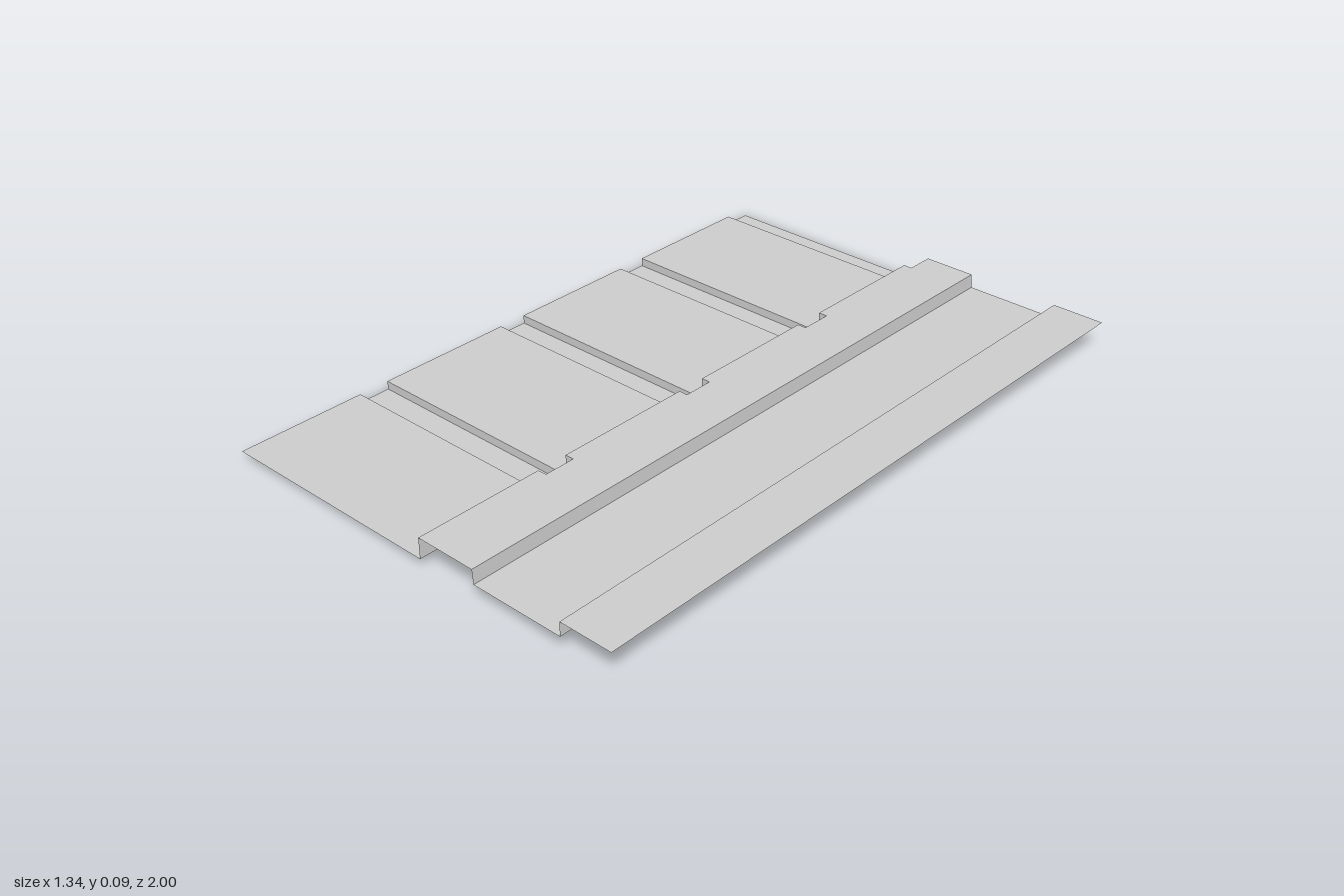
import * as THREE from 'three';

const material = new THREE.MeshStandardMaterial({ color: 0xcccccc, side: THREE.DoubleSide, flatShading: true });

// Thin folded sheet: a profile of [x, y] points swept from z0 to z1
function foldedSheet(name, profile, z0, z1) {
  const pos = [];
  for (let i = 0; i < profile.length - 1; i++) {
    const [ax, ay] = profile[i], [bx, by] = profile[i + 1];
    pos.push(ax, ay, z0, ax, ay, z1, bx, by, z1);
    pos.push(ax, ay, z0, bx, by, z1, bx, by, z0);
  }
  const geo = new THREE.BufferGeometry();
  geo.setAttribute('position', new THREE.Float32BufferAttribute(pos, 3));
  geo.computeVertexNormals();
  const mesh = new THREE.Mesh(geo, material);
  mesh.name = name;
  return mesh;
}

export function createModel() {
  const group = new THREE.Group();
  group.name = 'foldedPanel';

  const left = -0.67, right = 0.67;
  const panelY = 0.025, trayY = 0.045, topY = 0.087;
  const panelEnd = 0.035, grooveEnd = 0.062, ridgeEnd = 0.222, trayEnd = 0.51;

  const panelProfile = [[left, panelY], [panelEnd, panelY], [panelEnd, topY], [ridgeEnd, topY]];
  const grooveProfile = [[left, 0], [grooveEnd, 0], [grooveEnd, topY], [ridgeEnd, topY]];

  // L-shaped wall joining a raised panel to a groove
  const wallShape = new THREE.Shape([
    [left, 0], [grooveEnd, 0], [grooveEnd, topY], [panelEnd, topY], [panelEnd, panelY], [left, panelY],
  ].map(([x, y]) => new THREE.Vector2(x, y)));
  const wallGeo = new THREE.ShapeGeometry(wallShape);

  // Alternating grooves and panels from back to front
  const grooves = [[-1, -0.915], [-0.505, -0.41], [0, 0.09], [0.515, 0.61]];
  grooves.forEach(([z0, z1], i) => {
    const next = i + 1 < grooves.length ? grooves[i + 1][0] : 1;
    group.add(foldedSheet('groove', grooveProfile, z0, z1));
    group.add(foldedSheet('panel', panelProfile, z1, next));
    for (const z of [z0, z1]) {
      if (z === -1) continue; // the back groove is open at the edge
      const wall = new THREE.Mesh(wallGeo, material);
      wall.name = 'grooveWall';
      wall.position.z = z;
      group.add(wall);
    }
  });

  // Sunken tray and raised outer flange along the left side
  group.add(foldedSheet('trayAndFlange', [
    [ridgeEnd, topY], [ridgeEnd + 0.003, trayY], [trayEnd, trayY], [trayEnd, topY], [right, topY],
  ], -1, 1));

  return group;
}
